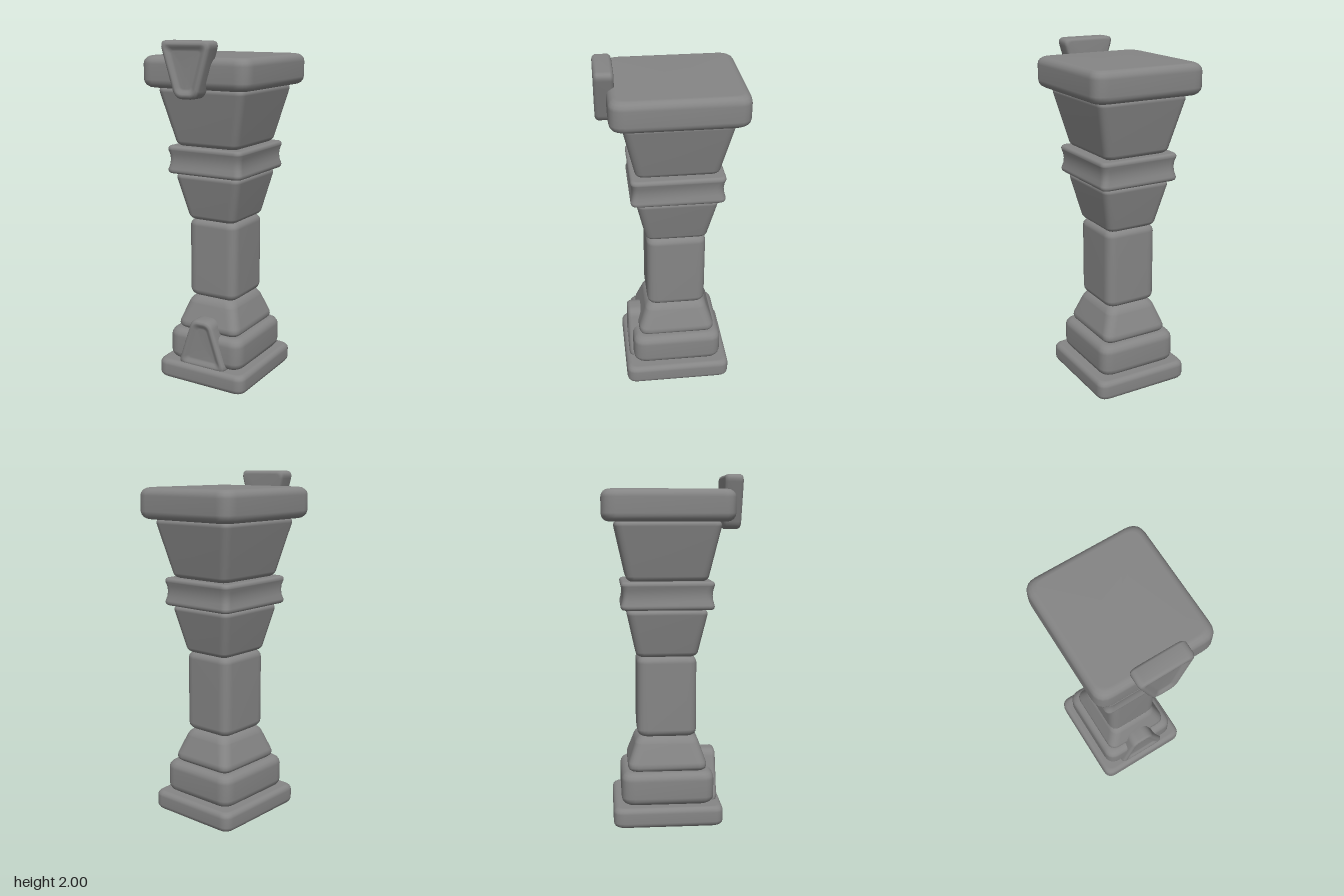
import * as THREE from 'three';

const CENTRE_Z = -0.031;
const STEPS = 4;

// Skin a stack of equal-length rings and cap both ends
function loft(name, rings) {
  const n = rings[0].length, pos = [], idx = [];
  rings.forEach(ring => ring.forEach(p => pos.push(p.x, p.y, p.z)));
  for (let k = 0; k < rings.length - 1; k++) {
    for (let i = 0; i < n; i++) {
      const a = k * n + i, b = k * n + (i + 1) % n;
      idx.push(a, b, b + n, a, b + n, a + n);
    }
  }
  [0, rings.length - 1].forEach(k => {
    const c = new THREE.Vector3();
    rings[k].forEach(p => c.addScaledVector(p, 1 / n));
    const ci = pos.length / 3;
    pos.push(c.x, c.y, c.z);
    for (let i = 0; i < n; i++) {
      const a = k * n + i, b = k * n + (i + 1) % n;
      if (k) idx.push(ci, a, b); else idx.push(ci, b, a);
    }
  });
  const g = new THREE.BufferGeometry();
  g.setAttribute('position', new THREE.Float32BufferAttribute(pos, 3));
  g.setIndex(idx);
  g.computeVertexNormals();
  const mesh = new THREE.Mesh(g, new THREE.MeshStandardMaterial({ color: 0x858585 }));
  mesh.name = name;
  return mesh;
}

// Counter-clockwise outline of a trapezoid with rounded corners
function outline(bottom, top, y0, y1, r) {
  const corners = [[-bottom, y0], [bottom, y0], [top, y1], [-top, y1]].map(c => new THREE.Vector2(...c));
  const pts = [];
  corners.forEach((c, i) => {
    const a = corners[(i + 3) % 4].clone().sub(c).normalize().multiplyScalar(r).add(c);
    const b = corners[(i + 1) % 4].clone().sub(c).normalize().multiplyScalar(r).add(c);
    const curve = new THREE.QuadraticBezierCurve(a, c, b);
    pts.push(...curve.getPoints(STEPS + 1));
  });
  return pts;
}

// Stone block: profile rows are [y, half width, half depth], with rounded edges
function block(name, profile, edge, corner) {
  const y0 = profile[0][0], y1 = profile[profile.length - 1][0];
  const sizeAt = y => {
    let k = 0;
    while (k < profile.length - 2 && y > profile[k + 1][0]) k++;
    const [a, b] = [profile[k], profile[k + 1]];
    const t = (y - a[0]) / (b[0] - a[0]);
    return [1, 2].map(j => THREE.MathUtils.lerp(a[j], b[j], t));
  };
  const levels = [];
  for (let i = 0; i <= STEPS; i++) {
    const t = i / STEPS * Math.PI / 2;
    levels.push([y0 + edge * (1 - Math.sin(t)), edge * (1 - Math.cos(t))]);
    levels.push([y1 - edge * (1 - Math.sin(t)), edge * (1 - Math.cos(t))]);
  }
  profile.slice(1, -1).forEach(p => levels.push([p[0], 0]));
  levels.sort((a, b) => a[0] - b[0]);
  return loft(name, levels.map(([y, inset]) => {
    const [hx, hz] = sizeAt(y).map(h => h - inset);
    return outline(hx, hx, -hz, hz, corner - inset * 0.5)
      .map(p => new THREE.Vector3(p.x, y, CENTRE_Z - p.y));
  }));
}

// Wedge plaque with a soft raised rim around a sunken face
function plaque(name, bottom, top, y0, y1, z0, z1) {
  const steps = [
    [z0, 0.02], [z0 + 0.005, 0.008], [z0 + 0.018, 0],
    [z1 - 0.018, 0], [z1 - 0.005, 0.007], [z1, 0.018],
    [z1 - 0.001, 0.026], [z1 - 0.006, 0.036], [z1 - 0.012, 0.046], [z1 - 0.015, 0.056]
  ];
  return loft(name, steps.map(([z, inset]) => {
    // Insets follow the slanted sides so that the rim keeps an even width
    const slope = (top - bottom) / (y1 - y0);
    const side = inset * Math.hypot(1, slope);
    const b = bottom + slope * inset - side, t = top - slope * inset - side;
    const r = Math.min(0.045 - inset * 0.5, Math.min(b, t) * 0.85);
    return outline(b, t, y0 + inset, y1 - inset, r).map(p => new THREE.Vector3(p.x, p.y, z));
  }));
}

export function createModel() {
  const model = new THREE.Group();
  model.name = 'pedestal';
  model.add(
    // Stepped foot
    block('basePlate', [[0, 0.291, 0.316], [0.117, 0.291, 0.316]], 0.032, 0.06),
    block('plinth', [[0.113, 0.245, 0.268], [0.308, 0.245, 0.268]], 0.048, 0.075),
    block('slopedFoot', [[0.305, 0.214, 0.238], [0.355, 0.2, 0.225], [0.46, 0.162, 0.188], [0.508, 0.142, 0.17]], 0.04, 0.06),
    // Shaft
    block('shaft', [[0.5, 0.159, 0.173], [0.975, 0.159, 0.173]], 0.042, 0.06),
    // Flared capital with a grooved collar
    block('lowerCapital', [[0.97, 0.152, 0.174], [1.245, 0.214, 0.234]], 0.028, 0.045),
    block('collar', [
      [1.248, 0.243, 0.266], [1.275, 0.241, 0.263], [1.3, 0.234, 0.256], [1.33, 0.231, 0.253],
      [1.36, 0.234, 0.256], [1.383, 0.241, 0.263], [1.408, 0.243, 0.266]
    ], 0.02, 0.04),
    block('upperCapital', [[1.405, 0.199, 0.229], [1.742, 0.279, 0.303]], 0.03, 0.045),
    block('topSlab', [[1.738, 0.34, 0.369], [1.914, 0.34, 0.369]], 0.045, 0.08),
    // Wedge ornaments on the front
    plaque('topKeystone', 0.07, 0.165, 1.694, 2.0, 0.295, 0.4),
    plaque('footKeystone', 0.166, 0.066, 0.1, 0.4, 0.155, 0.26)
  );
  return model;
}
